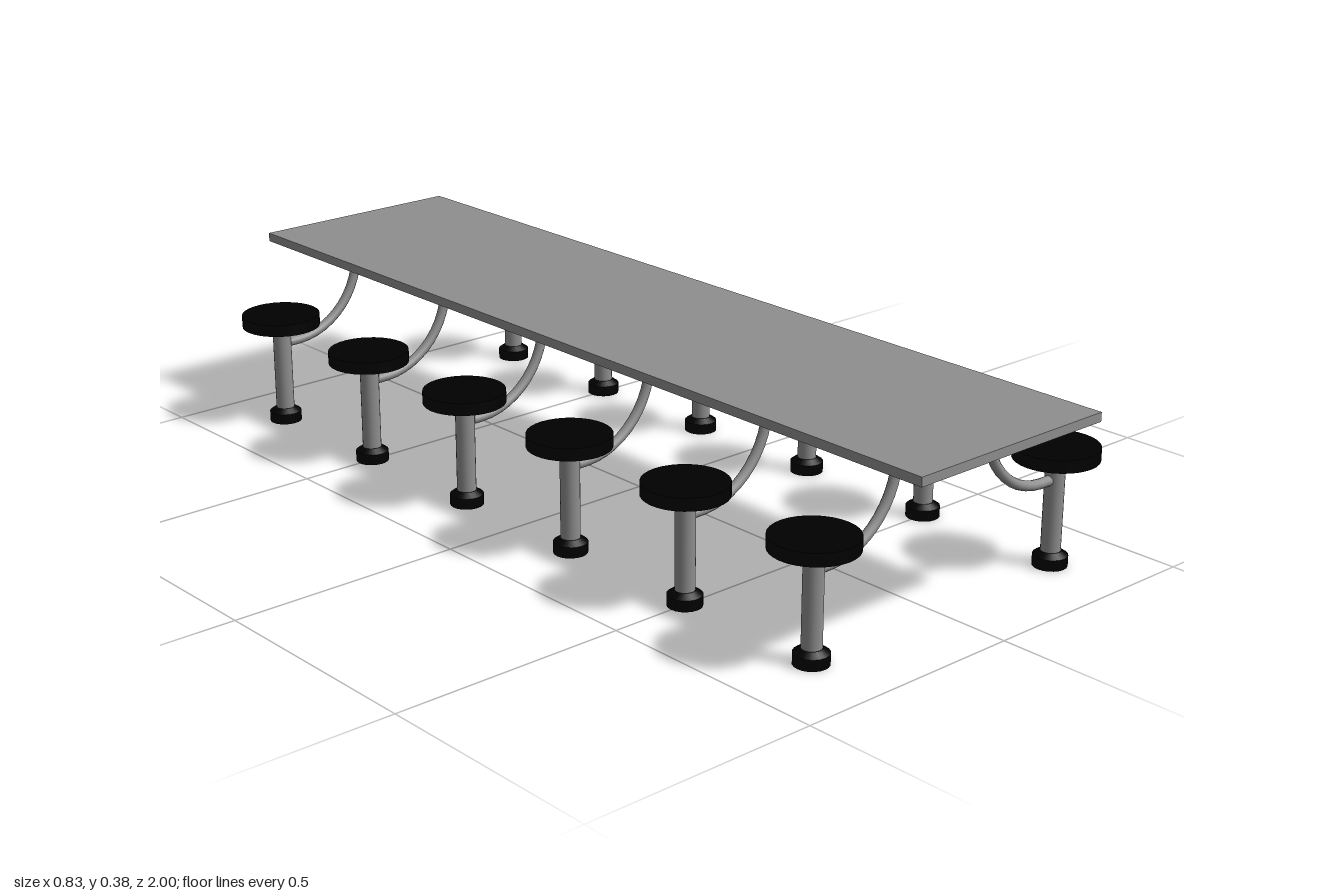
import * as THREE from 'three';

const grey = new THREE.MeshStandardMaterial({ color: 0x8f8f8f });
const black = new THREE.MeshStandardMaterial({ color: 0x000000 });

const SEAT_X = 0.329;
const FLANGE_X = 0.121;
const BEND = 0.17;

function add(parent, name, geometry, material, x = 0, y = 0, z = 0) {
  const mesh = new THREE.Mesh(geometry, material);
  mesh.name = name;
  mesh.position.set(x, y, z);
  parent.add(mesh);
}

// Quarter-circle arm with short straight ends, from post to tabletop flange
function armGeometry() {
  const points = [new THREE.Vector3(SEAT_X, 0.181, 0)];
  for (let i = 0; i <= 12; i++) {
    const a = (i / 12) * Math.PI / 2;
    points.push(new THREE.Vector3(
      FLANGE_X + BEND * (1 - Math.sin(a)), 0.181 + BEND * (1 - Math.cos(a)), 0));
  }
  points.push(new THREE.Vector3(FLANGE_X, 0.36, 0));
  return new THREE.TubeGeometry(new THREE.CatmullRomCurve3(points), 14, 0.0105, 12);
}

export function createModel() {
  const model = new THREE.Group();
  model.name = 'tableWithStools';

  add(model, 'tabletop', new THREE.BoxGeometry(0.484, 0.019, 2), grey, 0, 0.3745, 0);

  const seat = new THREE.CylinderGeometry(0.0855, 0.0855, 0.026, 32);
  const post = new THREE.CylinderGeometry(0.02, 0.02, 0.2, 20);
  const foot = new THREE.CylinderGeometry(0.035, 0.035, 0.023, 20);
  const footBevel = new THREE.CylinderGeometry(0.022, 0.035, 0.009, 20);
  const flange = new THREE.CylinderGeometry(0.027, 0.027, 0.007, 20);
  const arm = armGeometry();

  // Six stools along each long side
  for (const side of [1, -1]) {
    for (let i = 0; i < 6; i++) {
      const stool = new THREE.Group();
      stool.name = side > 0 ? 'leftStool' : 'rightStool';
      stool.position.z = (i - 2.5) / 3;
      stool.rotation.y = side > 0 ? 0 : Math.PI;
      add(stool, 'seat', seat, black, SEAT_X, 0.237);
      add(stool, 'post', post, grey, SEAT_X, 0.127);
      add(stool, 'foot', foot, black, SEAT_X, 0.0115);
      add(stool, 'footBevel', footBevel, black, SEAT_X, 0.0275);
      add(stool, 'arm', arm, grey);
      add(stool, 'flange', flange, black, FLANGE_X, 0.3615);
      model.add(stool);
    }
  }
  return model;
}
